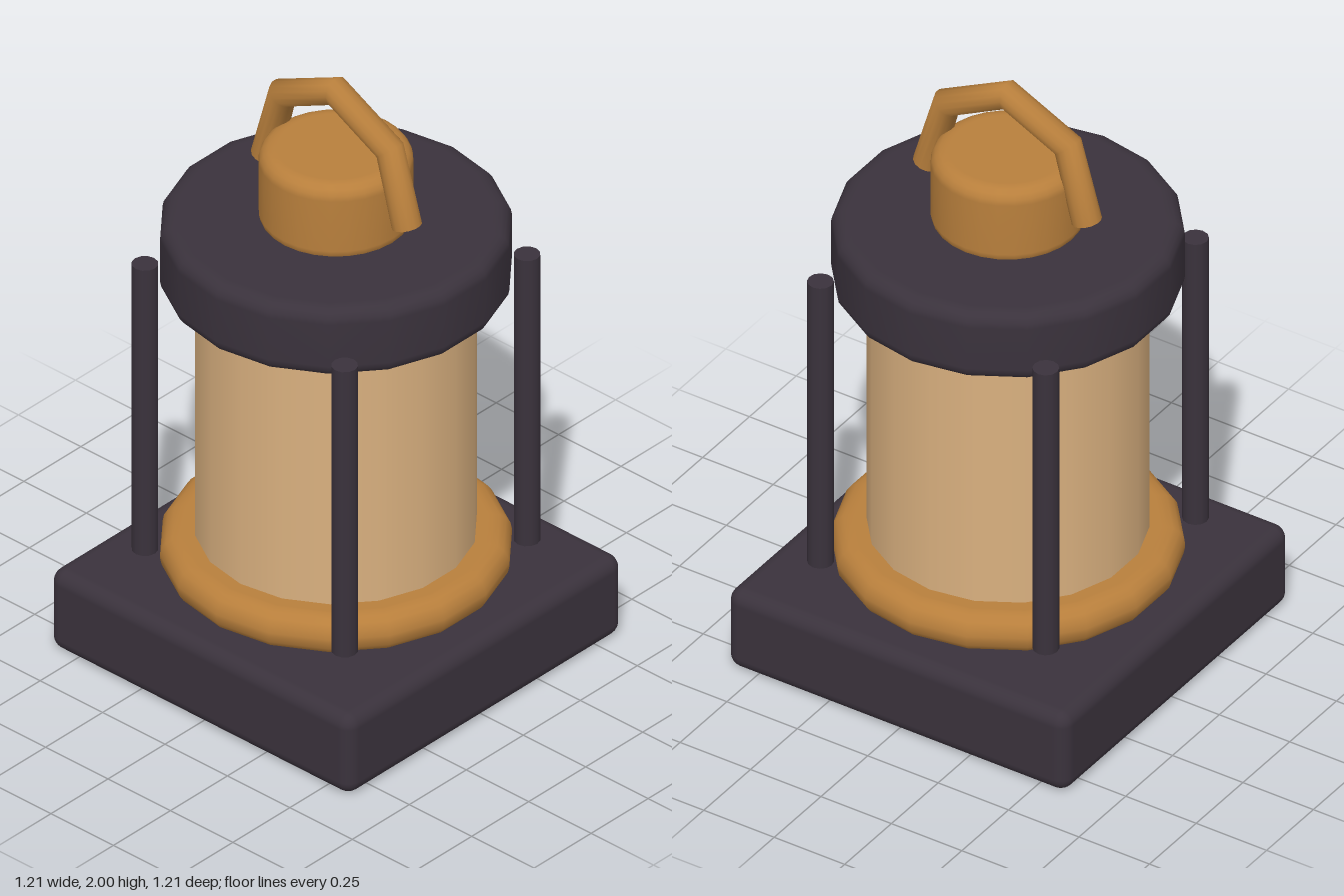
import * as THREE from 'three';
import { RoundedBoxGeometry } from 'three/addons/geometries/RoundedBoxGeometry.js';

const material = (name, color) => {
  const m = new THREE.MeshStandardMaterial({ color });
  m.name = name;
  return m;
};

// Disc with rounded rims, turned around y
function roundedDisc(radius, bottom, top, bevel, sides) {
  const profile = [[0, bottom], [radius - bevel - 0.01, bottom]];
  const steps = 4;
  for (const [cy, start] of [[bottom + bevel, -Math.PI / 2], [top - bevel, 0]]) {
    for (let i = 0; i <= steps; i++) {
      const a = start + (i / steps) * Math.PI / 2;
      profile.push([radius - bevel + bevel * Math.cos(a), cy + bevel * Math.sin(a)]);
    }
  }
  profile.push([radius - bevel - 0.01, top], [0, top]);
  return new THREE.LatheGeometry(profile.map(([x, y]) => new THREE.Vector2(x, y)), sides);
}

// Path of straight pieces, with averaged directions at the bends
class BentPath extends THREE.Curve {
  constructor(points) {
    super();
    this.points = points;
  }
  getPoint(t, target = new THREE.Vector3()) {
    const n = this.points.length - 1;
    const i = Math.min(Math.floor(t * n + 1e-6), n - 1);
    return target.lerpVectors(this.points[i], this.points[i + 1], t * n - i);
  }
  getPointAt(t, target) {
    return this.getPoint(t, target);
  }
  getTangentAt(t, target = new THREE.Vector3()) {
    const n = this.points.length - 1;
    const k = Math.round(t * n);
    target.set(0, 0, 0);
    for (const i of [k - 1, k]) {
      if (i >= 0 && i < n) target.add(this.points[i + 1].clone().sub(this.points[i]).normalize());
    }
    return target.normalize();
  }
}

export function createModel() {
  const model = new THREE.Group();
  model.name = 'lantern';
  const dark = material('darkIron', 0x3a323c);
  const brass = material('brass', 0xb87f3c);
  const glass = material('warmGlass', 0xd9b07f);

  const add = (name, geometry, mat, x = 0, y = 0, z = 0, parent = model) => {
    const mesh = new THREE.Mesh(geometry, mat);
    mesh.name = name;
    mesh.position.set(x, y, z);
    parent.add(mesh);
    return mesh;
  };

  // Square foot, ring, glass body and lid
  add('base', new RoundedBoxGeometry(1.208, 0.28, 1.208, 3, 0.045), dark, 0, 0.14, 0);
  add('lowerRing', roundedDisc(0.525, 0.28, 0.408, 0.058, 18), brass);
  add('glassBody', new THREE.CylinderGeometry(0.42, 0.42, 0.96, 18), glass, 0, 0.86, 0);
  add('lid', roundedDisc(0.525, 1.277, 1.515, 0.045, 18), dark);
  add('chimney', roundedDisc(0.23, 1.49, 1.757, 0.045, 28), brass);

  // Corner posts
  const post = new THREE.CylinderGeometry(0.04, 0.04, 1.015, 12);
  for (const x of [-0.4, 0.4]) {
    for (const z of [-0.4, 0.4]) add('post', post, dark, x, 0.85, z);
  }

  // Bent carrying handle with closed ends
  const handle = new THREE.Group();
  handle.name = 'handle';
  model.add(handle);
  const radius = 0.046;
  const path = new BentPath([
    [-0.28, 1.607], [-0.213, 1.852], [0, 1.954], [0.216, 1.842], [0.284, 1.603],
  ].map(([x, y]) => new THREE.Vector3(x, y, 0)));
  add('handleBar', new THREE.TubeGeometry(path, 4, radius, 14, false), brass, 0, 0, 0, handle);
  for (const t of [0, 1]) {
    const p = path.getPointAt(t);
    const outward = path.getTangentAt(t).multiplyScalar(t === 0 ? -1 : 1);
    const end = add('handleEnd', new THREE.CircleGeometry(radius, 14), brass, p.x, p.y, p.z, handle);
    end.quaternion.setFromUnitVectors(new THREE.Vector3(0, 0, 1), outward);
  }

  return model;
}
